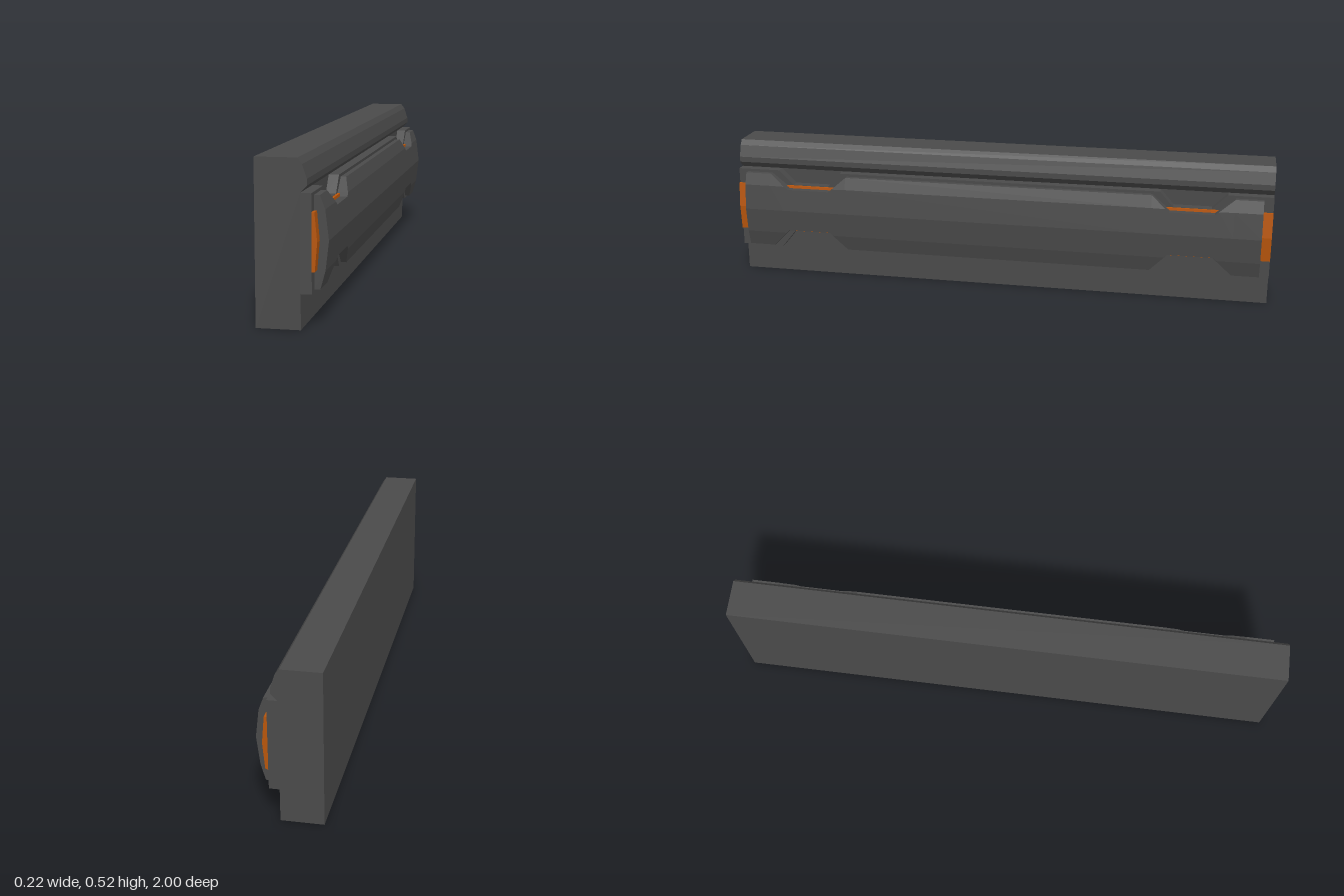
import * as THREE from 'three';

const grey = new THREE.MeshStandardMaterial({ color: 0x4a4a4a });
grey.name = 'dark grey';
const orange = new THREE.MeshStandardMaterial({ color: 0xb8560c });
orange.name = 'orange';

const shapeOf = (points) => new THREE.Shape(points.map(([x, y]) => new THREE.Vector2(x, y)));

// Extrudes an x-y profile along z, centred
function bar(name, points, length, material) {
  const geo = new THREE.ExtrudeGeometry(shapeOf(points), { depth: length, bevelEnabled: false });
  geo.translate(0, 0, -length / 2);
  const mesh = new THREE.Mesh(geo, material);
  mesh.name = name;
  return mesh;
}

// Backing plate with two notches in its upper and lower edges
function notchedPlate() {
  const lo = 0.11, hi = 0.413, notchLo = 0.176, notchHi = 0.358;
  const notch = [0.84, 0.785, 0.648, 0.6];
  const edge = (outer, inner) => [
    [-1, outer],
    ...notch.map((z, i) => [-z, i === 1 || i === 2 ? inner : outer]),
    ...[...notch].reverse().map((z, i) => [z, i === 1 || i === 2 ? inner : outer]),
    [1, outer],
  ];
  const outline = [...edge(lo, notchLo), ...edge(hi, notchHi).reverse()];
  const geo = new THREE.ExtrudeGeometry(shapeOf(outline), { depth: 0.034, bevelEnabled: false });
  geo.rotateY(Math.PI / 2).translate(0.029, 0, 0);
  const mesh = new THREE.Mesh(geo, grey);
  mesh.name = 'backingPlate';
  return mesh;
}

// Bowed cover: one cross-section per station, clipped by the notch depth t (0 to 1)
function bowedCover() {
  const half = [[0.965, 0], [0.866, 0], [0.811, 0.8], [0.797, 1], [0.636, 1], [0.623, 0.8], [0.572, 0]];
  const stations = [...half.map(([z, t]) => [-z, t]), ...[...half].reverse()];
  const profile = [[0.118, 0.081], [0.175, 0.097], [0.267, 0.108], [0.36, 0.097], [0.403, 0.081]];
  const depthAt = (y) => {
    for (let i = 1; i < profile.length; i++) {
      const [y0, x0] = profile[i - 1], [y1, x1] = profile[i];
      if (y <= y1) return x0 + ((x1 - x0) * (y - y0)) / (y1 - y0);
    }
    return profile[4][1];
  };
  const back = 0.062;
  const rings = stations.map(([z, t]) => {
    const lo = 0.118 + 0.069 * t, hi = 0.403 - 0.055 * t;
    const ys = [lo, Math.max(lo, 0.175), 0.267, Math.min(hi, 0.36), hi];
    return [[back, lo, z], ...ys.map((y) => [depthAt(y), y, z]), [back, hi, z]];
  });
  const pos = [];
  const tri = (a, b, c) => pos.push(...a, ...b, ...c);
  const n = 7, last = rings[rings.length - 1];
  for (let i = 0; i < rings.length - 1; i++) {
    for (let j = 0; j < n; j++) {
      const k = (j + 1) % n;
      tri(rings[i][j], rings[i][k], rings[i + 1][k]);
      tri(rings[i][j], rings[i + 1][k], rings[i + 1][j]);
    }
  }
  for (let j = 1; j < n - 1; j++) {
    tri(last[0], last[j], last[j + 1]);
    tri(rings[0][0], rings[0][j + 1], rings[0][j]);
  }
  const geo = new THREE.BufferGeometry();
  geo.setAttribute('position', new THREE.Float32BufferAttribute(pos, 3));
  geo.computeVertexNormals();
  const mesh = new THREE.Mesh(geo, grey);
  mesh.name = 'bowedCover';
  return mesh;
}

export function createModel() {
  const model = new THREE.Group();
  model.name = 'wallPanel';

  // Main slab with a rounded lip along its top edge
  model.add(bar('slab', [
    [-0.11, 0], [0.029, 0], [0.029, 0.413], [0.05, 0.435], [0.05, 0.455],
    [0.036, 0.498], [0.022, 0.517], [-0.11, 0.517],
  ], 2, grey));

  model.add(notchedPlate());

  // Orange core showing at both ends of the cover
  model.add(bar('core', [
    [0.06, 0.175], [0.072, 0.175], [0.08, 0.267], [0.072, 0.36], [0.06, 0.36],
  ].map(([x, y]) => [x, THREE.MathUtils.clamp(y, 0.177, 0.357)]), 2, orange));

  model.add(bowedCover());
  return model;
}
